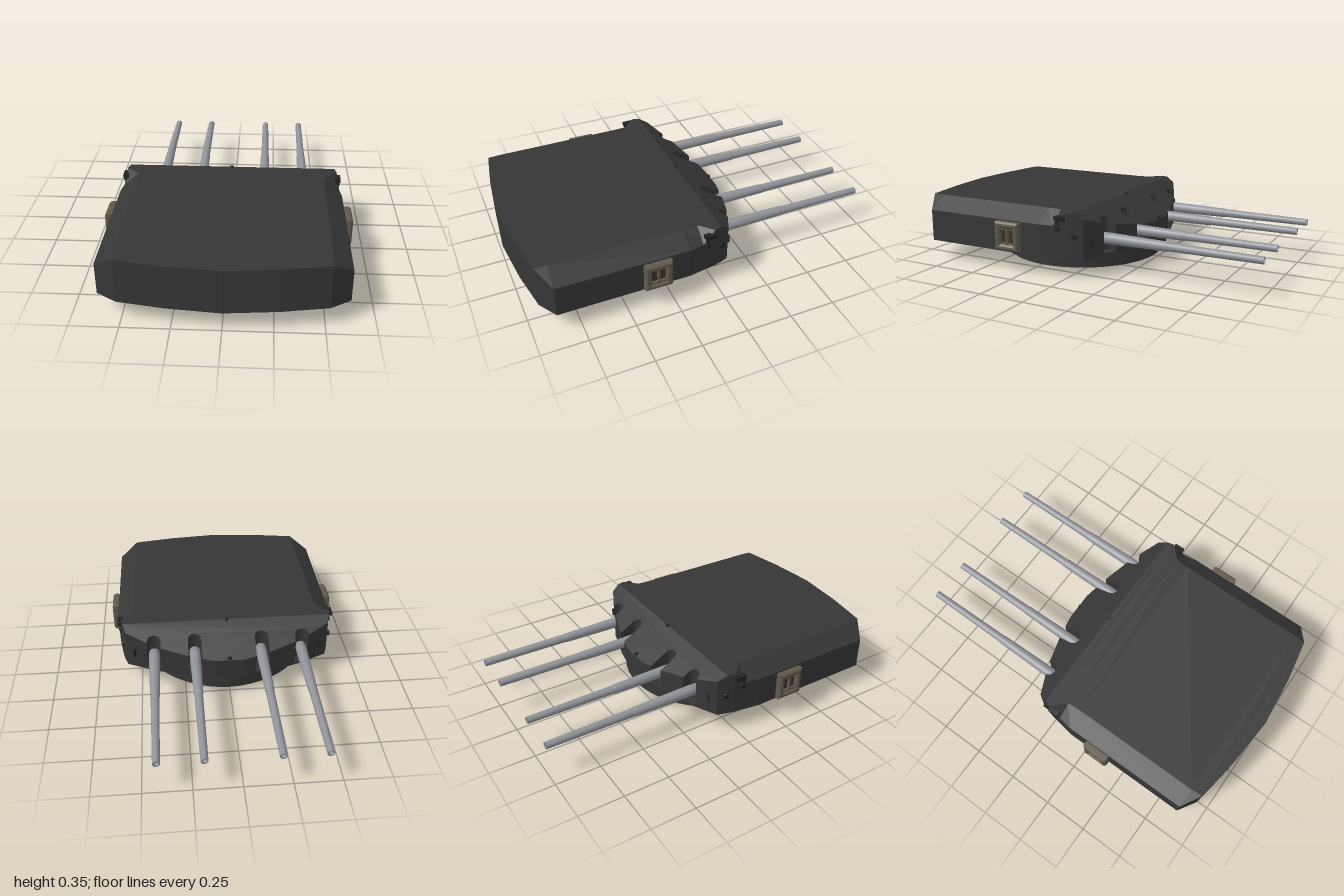
import * as THREE from 'three';

const mat = (name, color) => {
  const m = new THREE.MeshStandardMaterial({ color });
  m.name = name;
  return m;
};
const armour = mat('armour', 0x363636);
const fitting = mat('darkFitting', 0x222222);
const steel = mat('gunSteel', 0x8f9298);
const bronze = mat('boxBrown', 0x625a4b);
const recess = mat('boxRecess', 0x35312a);

function add(parent, name, geometry, material, x = 0, y = 0, z = 0) {
  const mesh = new THREE.Mesh(geometry, material);
  mesh.name = name;
  mesh.position.set(x, y, z);
  parent.add(mesh);
  return mesh;
}

// Gunhouse: hexagonal cross-sections [z, half width, shoulder y, roof half width]
const FLOOR = 0.105, ROOF = 0.35;
const SECTIONS = [
  [-0.04, 0.592, 0.35, 0.592], [0, 0.602, 0.35, 0.602], [0.07, 0.613, 0.28, 0.53],
  [0.15, 0.625, 0.28, 0.525], [0.87, 0.625, 0.28, 0.525], [0.935, 0.52, 0.35, 0.52],
  [0.975, 0.28, 0.35, 0.28], [1, 0, 0.35, 0],
];
function gunhouseGeometry() {
  const rings = SECTIONS.map(([z, w, sh, t]) => [
    [w, FLOOR, z], [w, sh, z], [t, ROOF, z], [-t, ROOF, z], [-w, sh, z], [-w, FLOOR, z],
  ]);
  const pos = [];
  for (let i = 0; i < rings.length - 1; i++) {
    for (let j = 0; j < 6; j++) {
      const k = (j + 1) % 6;
      const [a, b, c, d] = [rings[i][j], rings[i][k], rings[i + 1][k], rings[i + 1][j]];
      pos.push(...a, ...b, ...c, ...a, ...c, ...d);
    }
  }
  const g = new THREE.BufferGeometry();
  g.setAttribute('position', new THREE.Float32BufferAttribute(pos, 3));
  g.computeVertexNormals();
  return g;
}

// Curved front outline and the sloping glacis above it
const FRONT = [[0, -0.26], [0.08, -0.26], [0.22, -0.23], [0.41, -0.17], [0.575, -0.09], [0.592, -0.04]];
const GUN_X = [-0.42, -0.19, 0.19, 0.42];
const SLOT = 0.038, SLOT_END = -0.125;
const slopeY = (z) => ROOF + (z + 0.04) * (0.13 / 0.22);
function frontZ(x) {
  const a = Math.abs(x);
  const i = FRONT.findIndex((p, n) => n > 0 && a <= p[0]);
  const [x0, z0] = FRONT[i - 1], [x1, z1] = FRONT[i];
  return z0 + ((a - x0) / (x1 - x0)) * (z1 - z0);
}
// Upright slab over a plan outline, its top set by a rule
function slab(outline, y0, topRule) {
  const shape = new THREE.Shape(outline.map(([x, z]) => new THREE.Vector2(x, -z)));
  const g = new THREE.ExtrudeGeometry(shape, { depth: 1, bevelEnabled: false });
  g.rotateX(-Math.PI / 2);
  const p = g.attributes.position;
  for (let i = 0; i < p.count; i++) p.setY(i, p.getY(i) > 0.5 ? topRule(p.getZ(i)) : y0);
  g.computeVertexNormals();
  return g;
}
function frontOutline(withSlots) {
  const half = FRONT.slice(1);
  let pts = [...half.map(([x, z]) => [-x, z]), ...half];
  if (withSlots) {
    pts = pts.filter(([x]) => !GUN_X.some((g) => Math.abs(x - g) < SLOT));
    for (const g of GUN_X) {
      pts.push([g - SLOT, frontZ(g - SLOT)], [g + SLOT, frontZ(g + SLOT)]);
    }
  }
  pts.sort((a, b) => a[0] - b[0] || a[1] - b[1]);
  if (!withSlots) return pts;
  const out = [];
  for (const p of pts) {
    out.push(p);
    const g = GUN_X.find((x) => Math.abs(p[0] - (x - SLOT)) < 1e-6);
    // rounded inner end of each gun slot
    if (g !== undefined) {
      for (let i = 0; i <= 6; i++) {
        const a = Math.PI - (i / 6) * Math.PI;
        out.push([g + SLOT * Math.cos(a), SLOT_END - 0.015 + 0.03 * Math.sin(a)]);
      }
    }
  }
  return out;
}

// Stepped barrel with an open muzzle, drawn along its length
function barrelGeometry() {
  const profile = [
    [0, 0], [0.03, 0], [0.031, 0.06], [0.026, 0.38], [0.026, 0.385], [0.0235, 0.385],
    [0.019, 0.885], [0.013, 0.885], [0.013, 0.8], [0, 0.8],
  ].map(([r, l]) => new THREE.Vector2(r, l));
  const g = new THREE.LatheGeometry(profile, 20);
  g.rotateX(-Math.PI / 2);
  return g;
}

// Framed box on each side wall, facing local +z
function sideBox() {
  const group = new THREE.Group();
  const rect = (Kind, w, h) => new Kind([[-w, -h], [w, -h], [w, h], [-w, h]].map((p) => new THREE.Vector2(...p)));
  const frame = rect(THREE.Shape, 0.065, 0.069);
  frame.holes.push(rect(THREE.Path, 0.05, 0.055));
  const g = new THREE.ExtrudeGeometry(frame, {
    depth: 0.025, bevelEnabled: true, bevelSize: 0.01, bevelThickness: 0.01, bevelSegments: 1,
  });
  add(group, 'boxFrame', g, bronze, 0, 0, 0.01);
  add(group, 'boxRecess', new THREE.BoxGeometry(0.1, 0.11, 0.02), recess, 0, 0, 0.01);
  add(group, 'boxCentreBar', new THREE.BoxGeometry(0.012, 0.1, 0.018), bronze, 0, 0, 0.028);
  for (const s of [-1, 1]) {
    add(group, 'boxInnerRail', new THREE.BoxGeometry(0.09, 0.01, 0.015), bronze, 0, s * 0.042, 0.026);
  }
  return group;
}

export function createModel() {
  const model = new THREE.Group();
  model.name = 'gunTurret';

  // Base rings
  add(model, 'lowerRing', new THREE.CylinderGeometry(0.45, 0.45, 0.03, 48), armour, 0, 0.015, 0.228);
  add(model, 'upperRing', new THREE.CylinderGeometry(0.49, 0.49, 0.08, 48), armour, 0, 0.07, 0.235);

  // Armoured gunhouse and slotted front
  add(model, 'gunhouse', gunhouseGeometry(), armour);
  add(model, 'frontFloor', slab(frontOutline(false), FLOOR, () => 0.12), armour);
  add(model, 'slopedFront', slab(frontOutline(true), 0.12, slopeY), armour);

  // Guns
  const barrel = barrelGeometry();
  for (const x of GUN_X) {
    const tilt = add(model, 'gunBarrel', barrel, steel, x, 0.195, -0.115);
    tilt.rotation.x = -0.003;
  }

  // Fittings mirrored on both sides
  const knob = new THREE.CylinderGeometry(0.014, 0.014, 0.02, 12).rotateZ(Math.PI / 2);
  for (const s of [-1, 1]) {
    const box = sideBox();
    box.name = 'sideBox';
    box.position.set(s * 0.62, 0.197, 0.335);
    box.rotation.y = (s * Math.PI) / 2;
    model.add(box);
    add(model, 'sightHood', new THREE.BoxGeometry(0.03, 0.022, 0.058), fitting, s * 0.607, 0.322, 0.03);
    add(model, 'sightPort', new THREE.BoxGeometry(0.02, 0.03, 0.018), fitting, s * 0.607, 0.305, 0.045);
    add(model, 'cheekKnob', knob, fitting, s * 0.608, 0.265, 0.043);
    add(model, 'cheekKnob', knob, fitting, s * 0.592, 0.225, -0.047);
    const slit = add(model, 'cheekSlit', new THREE.BoxGeometry(0.022, 0.045, 0.008), fitting, s * 0.528, 0.2, -0.114);
    slit.rotation.y = s * 0.45;
  }

  // Small vents on the centre line
  const stud = new THREE.CylinderGeometry(0.011, 0.011, 0.012, 10);
  add(model, 'roofStud', stud, fitting, 0, 0.347, -0.04);
  add(model, 'frontStud', stud, fitting, 0, 0.227, -0.249);
  return model;
}
